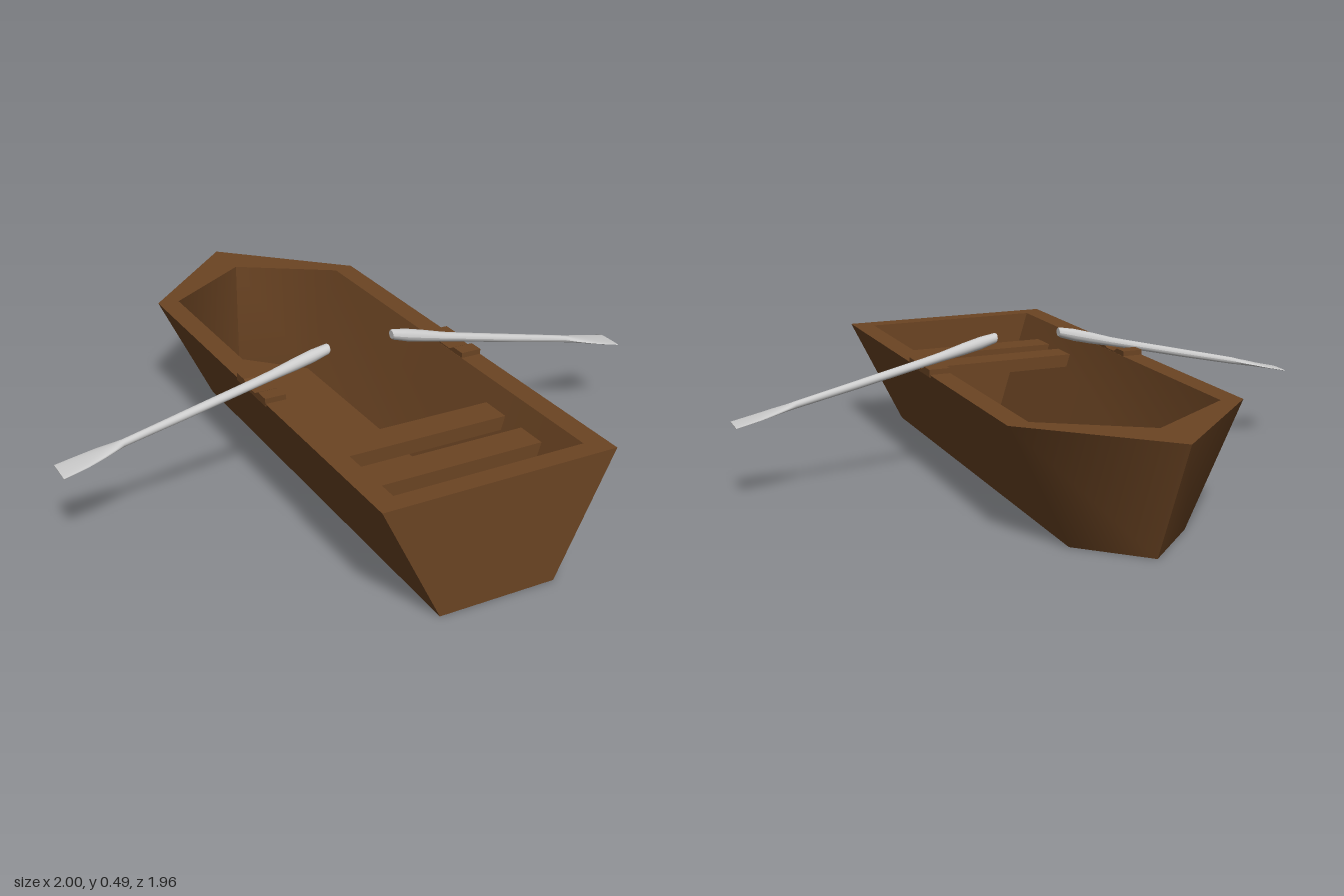
import * as THREE from 'three';

const wood = new THREE.MeshStandardMaterial({ color: 0x6b4423, side: THREE.DoubleSide });
const grey = new THREE.MeshStandardMaterial({ color: 0xcccccc });

function add(parent, name, geometry, material) {
  const mesh = new THREE.Mesh(geometry, material);
  mesh.name = name;
  parent.add(mesh);
  return mesh;
}

// Closed outline of the boat at one height: stern, shoulder, bow tip and back
function outline(w, y, stern, shoulder, tip) {
  return [[w, y, stern], [w, y, shoulder], [0, y, tip], [-w, y, shoulder], [-w, y, stern], [w, y, stern]];
}

// Smooth band of faces between two rows of points
function strip(a, b) {
  const n = a.length, index = [];
  for (let i = 0; i < n - 1; i++) index.push(i, n + i, n + i + 1, i, n + i + 1, i + 1);
  const g = new THREE.BufferGeometry();
  g.setAttribute('position', new THREE.Float32BufferAttribute([...a, ...b].flat(), 3));
  g.setIndex(index);
  g.computeVertexNormals();
  return g;
}

function makeHull() {
  const hull = new THREE.Group();
  hull.name = 'hull';
  const top = outline(0.382, 0.388, 0.975, -0.61, -0.98);
  const bottom = outline(0.192, 0, 0.975, -0.61, -0.8);
  const rim = outline(0.312, 0.388, 0.91, -0.595, -0.8);
  const floor = outline(0.194, 0.012, 0.91, -0.6, -0.798);
  const centre = y => top.map(() => [0, y, 0]);

  // Left side, right side and stern board, outside and inside
  const runs = [['leftSide', 0, 3], ['rightSide', 2, 5], ['stern', 4, 6]];
  for (const [name, from, to] of runs) {
    add(hull, name + 'Outer', strip(top.slice(from, to), bottom.slice(from, to)), wood);
    add(hull, name + 'Inner', strip(floor.slice(from, to), rim.slice(from, to)), wood);
  }
  add(hull, 'gunwale', strip(rim, top), wood);
  add(hull, 'floor', strip(centre(0.012), floor), wood);
  add(hull, 'bottom', strip(bottom, centre(0)), wood);
  return hull;
}

// Notched block on the gunwale that holds an oar
function oarRestGeometry() {
  const profile = [[0.06, 0.38], [0.265, 0.38], [0.265, 0.405], [0.215, 0.405],
    [0.19, 0.392], [0.135, 0.392], [0.11, 0.405], [0.06, 0.405]];
  const shape = new THREE.Shape(profile.map(p => new THREE.Vector2(...p)));
  const g = new THREE.ExtrudeGeometry(shape, { depth: 0.07, bevelEnabled: false });
  return g.rotateY(-Math.PI / 2).translate(0.035, 0, 0);
}

// Oar along +x, from grip to a wide, thin blade
function oarGeometry() {
  // x, y, half width, half thickness
  const stations = [
    [0.113, 0.470, 0.014, 0.014], [0.118, 0.469, 0.018, 0.017], [0.17, 0.456, 0.021, 0.021],
    [0.23, 0.441, 0.020, 0.020], [0.31, 0.421, 0.017, 0.016], [0.37, 0.407, 0.016, 0.015],
    [0.60, 0.354, 0.015, 0.014], [0.72, 0.327, 0.012, 0.013], [0.80, 0.309, 0.013, 0.012],
    [0.83, 0.302, 0.024, 0.010], [0.87, 0.293, 0.035, 0.008], [0.92, 0.281, 0.043, 0.005],
    [1.0, 0.263, 0.049, 0.002]];
  const last = stations.length - 1;
  const g = new THREE.CylinderGeometry(1, 1, 1, 16, last);
  const p = g.attributes.position;
  for (let i = 0; i < p.count; i++) {
    const [x, y, w, t] = stations[Math.round((0.5 - p.getY(i)) * last)];
    p.setXYZ(i, x, y + p.getX(i) * t, p.getZ(i) * w);
  }
  g.computeVertexNormals();
  return g;
}

export function createModel() {
  const boat = new THREE.Group();
  boat.name = 'rowingBoat';
  boat.add(makeHull());

  // Two bench planks near the stern
  for (const z of [0.502, 0.692]) {
    add(boat, 'bench', new THREE.BoxGeometry(0.584, 0.045, 0.105), wood).position.set(0, 0.295, z);
  }

  // Oars and their rests, one pair per side
  const oar = oarGeometry(), rest = oarRestGeometry();
  for (const [side, s] of [['left', 1], ['right', -1]]) {
    add(boat, side + 'OarRest', rest, wood).position.x = s * 0.348;
    const mesh = add(boat, side + 'Oar', oar, grey);
    mesh.position.z = 0.157;
    mesh.rotation.y = s > 0 ? 0 : Math.PI;
  }
  return boat;
}
